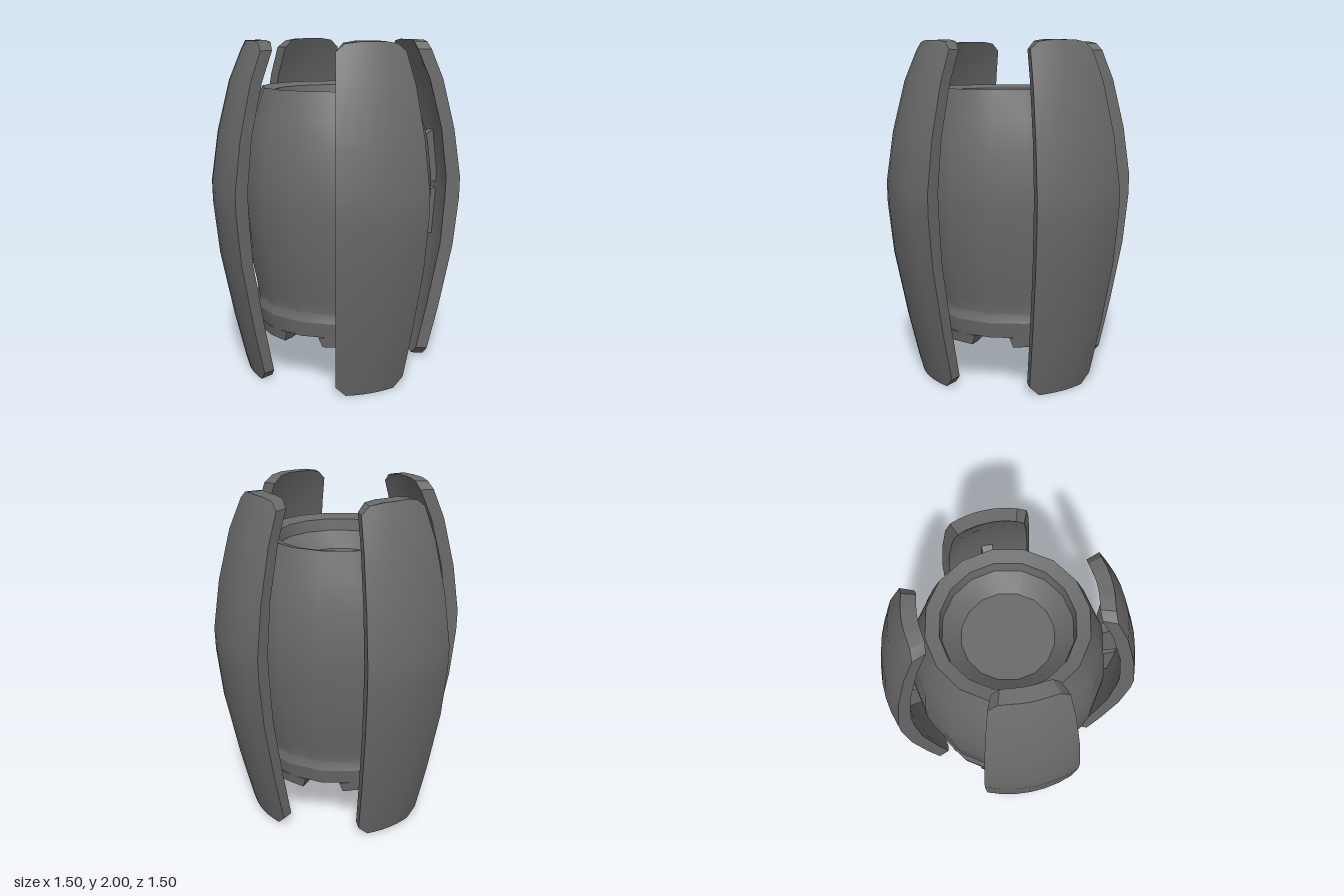
import * as THREE from 'three';
import { toCreasedNormals } from 'three/addons/utils/BufferGeometryUtils.js';

const material = new THREE.MeshStandardMaterial({ color: 0x6a6a6a });

// Solid slice of a ring: stations [y, outer radius, inner radius, half angle in degrees, inner y?] from bottom to top
function sector(stations, n) {
  const positions = [], index = [], loop = 2 * (n + 1);
  const quad = (a, b, c, d) => index.push(a, b, c, a, c, d);
  for (const [y, outer, inner, half, innerY = y] of stations) {
    const angle = (k) => THREE.MathUtils.degToRad(half * (2 * k / n - 1));
    for (let k = 0; k <= n; k++) positions.push(outer * Math.sin(angle(k)), y, outer * Math.cos(angle(k)));
    for (let k = n; k >= 0; k--) positions.push(inner * Math.sin(angle(k)), innerY, inner * Math.cos(angle(k)));
  }
  for (let i = 0; i < stations.length - 1; i++) {
    for (let j = 0; j < loop; j++) {
      const a = i * loop + j, b = i * loop + (j + 1) % loop;
      quad(a, b, b + loop, a + loop);
    }
  }
  const top = (stations.length - 1) * loop;
  for (let k = 0; k < n; k++) {
    const inner = loop - 1 - k;
    quad(inner, inner - 1, k + 1, k);
    quad(top + k, top + k + 1, top + inner - 1, top + inner);
  }
  const geometry = new THREE.BufferGeometry();
  geometry.setAttribute('position', new THREE.Float32BufferAttribute(positions, 3));
  geometry.setIndex(index);
  return toCreasedNormals(geometry, 0.5);
}

function lathe(points) {
  const geometry = new THREE.LatheGeometry(points.map(([r, y]) => new THREE.Vector2(r, y)), 16);
  return toCreasedNormals(geometry, 0.5);
}

export function createModel() {
  const model = new THREE.Group();
  const add = (name, geometry, turn = 0) => {
    const mesh = new THREE.Mesh(geometry, material);
    mesh.name = name;
    mesh.rotation.y = turn;
    model.add(mesh);
  };

  // Barrel: nozzle and recess below, bulging wall, open cup on top
  add('body', lathe([
    [0, 0.5], [0.09, 0.48], [0.095, 0.355], [0.15, 0.355], [0.2, 0.415],
    [0.34, 0.4], [0.36, 0.3], [0.39, 0.33], [0.495, 0.33],
    [0.51, 0.42], [0.498, 0.45], [0.494, 0.475], [0.507, 0.55], [0.53, 0.66],
    [0.557, 0.86], [0.575, 1.08], [0.573, 1.2], [0.547, 1.42], [0.505, 1.56],
    [0.445, 1.73], [0.37, 1.71], [0.36, 1.64], [0.26, 1.55], [0, 1.55],
  ]));

  // Base teeth, with notches left between them
  const tooth = sector([[0.27, 0.485, 0.42, 30.5], [0.33, 0.495, 0.36, 33, 0.3]], 4);

  // Curved armour plate with clipped corners
  const panel = sector([
    [0.005, 0.56, 0.485, 15.5, 0.012], [0.065, 0.577, 0.507, 21.5], [0.36, 0.645, 0.57, 21.5],
    [0.75, 0.72, 0.642, 21.5], [1.05, 0.75, 0.664, 21.5], [1.18, 0.752, 0.668, 21.5],
    [1.475, 0.708, 0.632, 21.5], [1.77, 0.633, 0.555, 21.5],
    [1.945, 0.56, 0.48, 21.5], [1.986, 0.54, 0.46, 16.5, 1.99], [1.997, 0.535, 0.455, 9, 2],
  ], 6);

  // Narrow mounts that join each plate to the barrel
  const lowerMount = sector([[0.765, 0.67, 0.5, 3, 0.81], [1.075, 0.69, 0.53, 3, 1.045]], 2);
  const upperMount = sector([[1.105, 0.69, 0.53, 3, 1.135], [1.46, 0.67, 0.5, 3, 1.37]], 2);

  for (let i = 0; i < 4; i++) {
    const turn = i * Math.PI / 2;
    add('baseTooth', tooth, turn);
    add('outerPanel', panel, turn);
    add('lowerMount', lowerMount, turn);
    add('upperMount', upperMount, turn);
  }
  return model;
}
